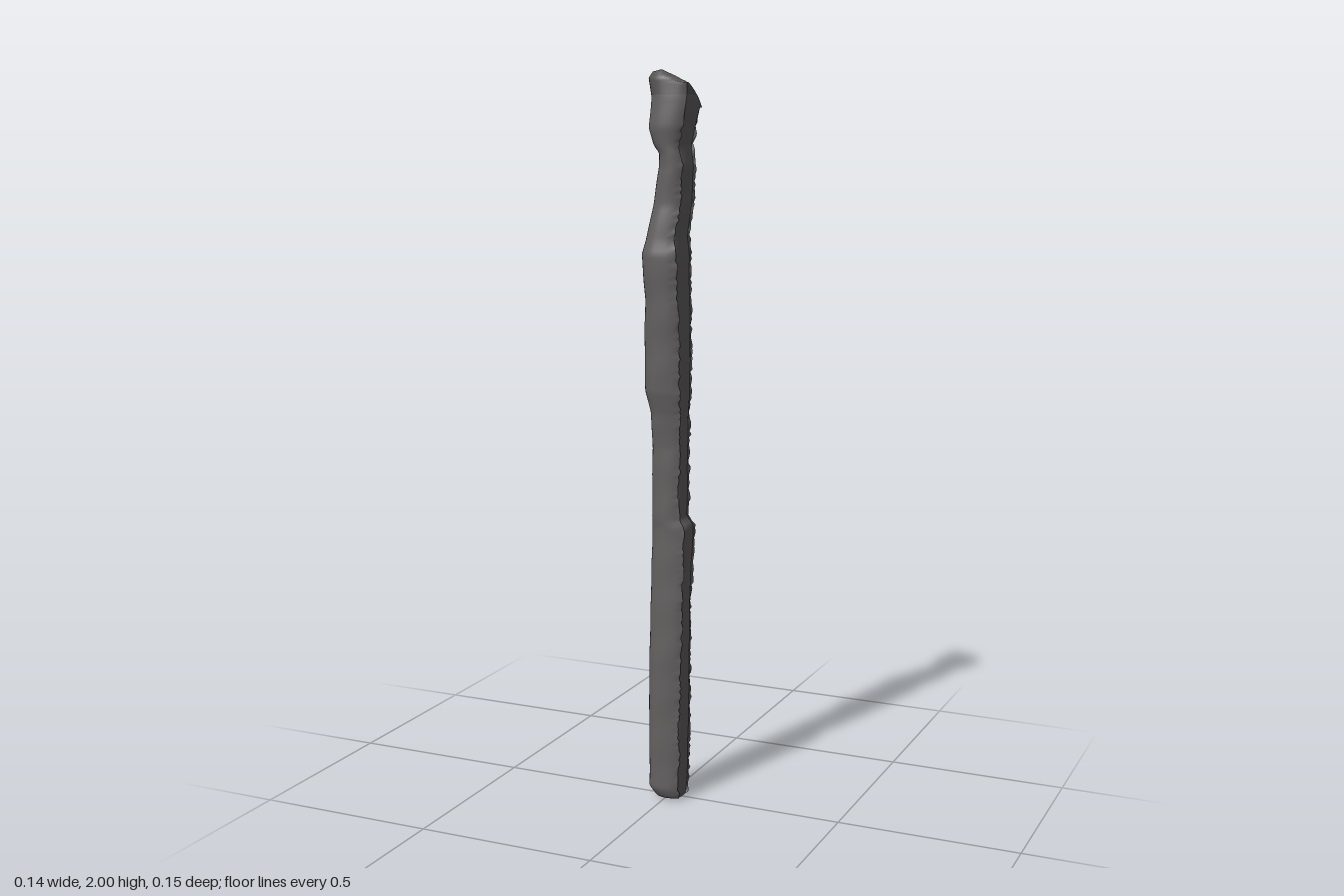
import * as THREE from 'three';

// Outline of the post by height: y, xMin, xMax, zMin, zMax
const PROFILE = [
  [0, -0.03, 0.046, -0.032, 0.042], [0.03, -0.055, 0.047, -0.045, 0.055],
  [0.2, -0.056, 0.049, -0.045, 0.055], [0.4, -0.054, 0.052, -0.043, 0.055],
  [0.6, -0.051, 0.055, -0.041, 0.051], [0.78, -0.047, 0.06, -0.05, 0.047],
  [0.8, -0.047, 0.044, -0.046, 0.047], [1.0, -0.047, 0.046, -0.045, 0.046],
  [1.09, -0.05, 0.047, -0.046, 0.052], [1.15, -0.064, 0.049, -0.049, 0.063],
  [1.3, -0.065, 0.05, -0.055, 0.066], [1.4, -0.062, 0.046, -0.06, 0.07],
  [1.52, -0.072, 0.044, -0.061, 0.075], [1.56, -0.06, 0.04, -0.06, 0.066],
  [1.65, -0.043, 0.048, -0.063, 0.052], [1.75, -0.026, 0.055, -0.064, 0.051],
  [1.785, -0.024, 0.048, -0.065, 0.054], [1.805, -0.04, 0.045, -0.067, 0.056],
  [1.85, -0.055, 0.053, -0.072, 0.06], [1.93, -0.051, 0.064, -0.077, 0.055],
  [1.98, -0.06, 0.062, -0.07, 0.048]
];

const lerp = THREE.MathUtils.lerp;
const rad = THREE.MathUtils.degToRad;
const CROWN = 1.93;

// Repeatable noise in -1..1
function noise(a, b) {
  const s = Math.sin(a * 12.99 + b * 78.23) * 43758.55;
  return (s - Math.floor(s)) * 2 - 1;
}

function sample(y) {
  let i = 0;
  while (i < PROFILE.length - 2 && PROFILE[i + 1][0] < y) i++;
  const p = PROFILE[i], q = PROFILE[i + 1];
  const t = THREE.MathUtils.clamp((y - p[0]) / (q[0] - p[0]), 0, 1);
  return p.map((v, k) => lerp(v, q[k], t));
}

// Rows of the loft: closed foot, long shaft, closed sloping crown
const ROWS = [{ y: 0, s: 0.001 }, { y: 0, s: 0.6 }];
const STEPS = 220;
for (let i = 0; i <= STEPS; i++) ROWS.push({ y: 0.006 + 1.974 * i / STEPS, s: 1 });
ROWS.push({ y: 1.995, s: 0.85 }, { y: 2, s: 0.6 }, { y: 2, s: 0.3 }, { y: 2, s: 0.001 });

// One point on the D-shaped section: round behind, flat between the two seams
function point(row, r, deg, ragged, inset) {
  const [, x0, x1, z0, z1] = sample(row.y);
  const a = rad(deg), cx = (x0 + x1) / 2, cz = (z0 + z1) / 2;
  const lump = 1 + 0.02 * Math.sin(row.y * 31 + 3 * a) * Math.sin(row.y * 17 - 2 * a);
  const c = Math.cos(a);
  // The back corner grows sharper toward the crown
  const corner = Math.sin(a) < 0 ? lerp(1.5, 1.9, THREE.MathUtils.smoothstep(row.y, 1.7, 1.9)) : 1.45;
  const flat = c > 0 ? Math.min(1, c * corner) : c;
  let x = cx + row.s * lump * (x1 - x0) / 2 * flat;
  let z = cz + row.s * lump * (z1 - z0) / 2 * Math.sin(a);
  if (row.s === 1) {
    x += ragged * 0.0035 * noise(r, deg > 180 ? 2 : 1) - inset;
    z += ragged * 0.0015 * noise(r, 5);
  }
  // The crown falls away in a curve to the back and the flat side
  const back = Math.max(0, 0.02 - z);
  const crown = 2 - 0.45 * Math.max(0, x + 0.01) - 0.35 * back - 4.5 * back * back
    - 1.1 * Math.max(0, -0.04 - x) - 0.7 * Math.max(0, z - 0.03);
  return [x, Math.min(row.y, crown), z];
}

// Loft a strip of the section through every row: shaft colour, then crown colour
function strip(name, materials, columnsAt) {
  const positions = [], index = [];
  let n = 0, split = 0;
  ROWS.forEach((row, r) => {
    const columns = columnsAt(row.y);
    n = columns.length;
    columns.forEach(([deg, ragged, inset]) => positions.push(...point(row, r, deg, ragged, inset)));
  });
  for (let r = 0; r < ROWS.length - 1; r++) {
    for (let c = 0; c < n - 1; c++) {
      const a = r * n + c, b = a + 1, d = a + n, e = d + 1;
      index.push(a, d, b, b, d, e);
    }
    if (ROWS[r].y < CROWN) split = index.length;
  }
  const g = new THREE.BufferGeometry();
  g.setAttribute('position', new THREE.Float32BufferAttribute(positions, 3));
  g.setIndex(index);
  g.addGroup(0, split, 0);
  g.addGroup(split, index.length - split, 1);
  g.computeVertexNormals();
  const mesh = new THREE.Mesh(g, materials);
  mesh.name = name;
  return mesh;
}

export function createModel() {
  const colour = (name, color) => {
    const m = new THREE.MeshStandardMaterial({ color, side: THREE.DoubleSide });
    m.name = name;
    return m;
  };
  const wood = colour('weathered grey wood', 0x636060);
  const top = colour('darker grey crown', 0x575454);
  const dark = colour('dark crack', 0x353232);

  // The two seams wander a little along the shaft and close at the crown
  const front = y => 46 + 3 * Math.sin(y * 9) + 2 * Math.sin(y * 37);
  const back = y => 312 - 10 * THREE.MathUtils.smoothstep(y, 1.7, 1.9)
    + 3 * Math.sin(y * 8 + 1) + 2 * Math.sin(y * 33);
  const open = y => 1 - THREE.MathUtils.smoothstep(y, 1.85, 1.92);
  const gap = y => 0.01 + 2.2 * open(y);
  const inset = y => 0.006 * open(y);

  const group = new THREE.Group();
  group.name = 'weatheredPost';

  // Rounded bark around the back and sides, with ragged edges
  group.add(strip('roundedBark', [wood, top], y => {
    const list = [], n = 26;
    for (let i = 0; i <= n; i++) {
      list.push([lerp(front(y), back(y), i / n), i === 0 || i === n ? open(y) : 0, 0]);
    }
    return list;
  }));

  // Split face, gently bulging between the seams
  group.add(strip('splitFace', [wood, top], y => {
    const list = [], n = 8, from = back(y) + gap(y) - 360, to = front(y) - gap(y);
    for (let i = 0; i <= n; i++) {
      const t = i / n * 2 - 1;
      list.push([lerp(from, to, i / n), 0, inset(y) * (0.3 + 0.7 * t * t)]);
    }
    return list;
  }));

  // Dark cracks between bark and split face
  group.add(strip('frontCrack', [dark, top], y => [[front(y) - gap(y), 0, inset(y)], [front(y), open(y), 0]]));
  group.add(strip('backCrack', [dark, top], y => [[back(y), open(y), 0], [back(y) + gap(y), 0, inset(y)]]));

  return group;
}
